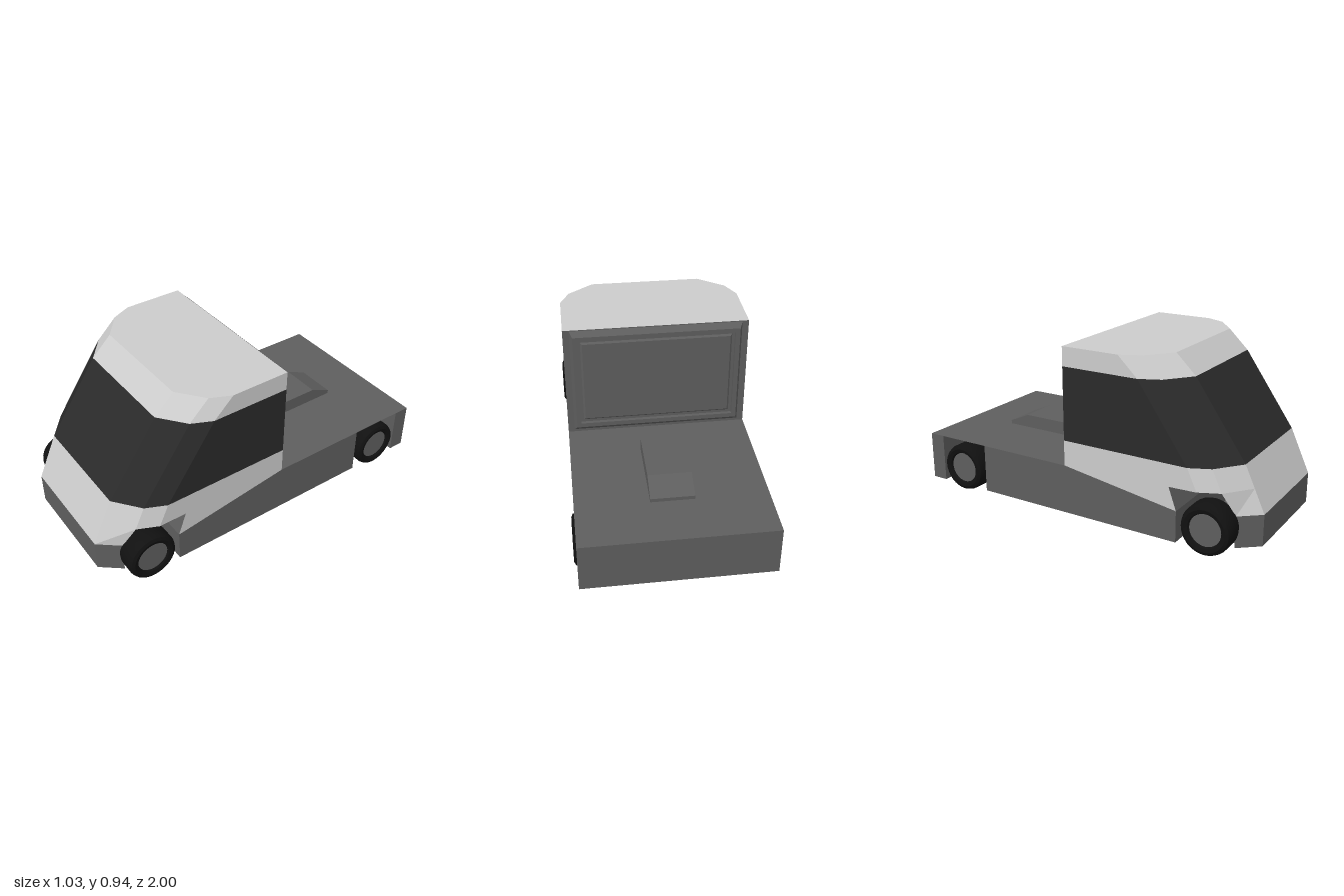
import * as THREE from 'three';
import { toCreasedNormals } from 'three/addons/utils/BufferGeometryUtils.js';

const mat = (color, side = THREE.DoubleSide) =>
  new THREE.MeshStandardMaterial({ color, side, flatShading: true });
const paint = mat(0xcccccc), glass = mat(0x2a2a2a), dark = mat(0x5e5e5e);
const rubber = new THREE.MeshStandardMaterial({ color: 0x111111, side: THREE.DoubleSide });

function add(parent, name, geometry, material, x = 0, y = 0, z = 0) {
  const m = new THREE.Mesh(geometry, material);
  m.name = name;
  m.position.set(x, y, z);
  parent.add(m);
  return m;
}

// Faceted surface from polygons, each fanned from its first corner
function facets(polys) {
  const pos = [];
  for (const p of polys)
    for (let i = 1; i < p.length - 1; i++) pos.push(...p[0], ...p[i], ...p[i + 1]);
  const g = new THREE.BufferGeometry();
  g.setAttribute('position', new THREE.Float32BufferAttribute(pos, 3));
  g.computeVertexNormals();
  return g;
}
const mirror = (p) => p.map(([x, y, z]) => [-x, y, z]).reverse();
const both = (p) => [p, mirror(p)];

// Cab outline at height y with its nose at z = f, running from the left rear to the right rear
function ring(y, f) {
  const half = [[0.5, y, -0.05], [0.5, y, f - 0.22], [0.45, y, f - 0.11], [0.31, y, f]];
  return [...half, ...mirror(half)];
}
// Walls joining two outlines
function walls(a, b, from = 0, to = a.length - 1) {
  const out = [];
  for (let i = from; i < to; i++) out.push([a[i + 1], a[i], b[i], b[i + 1]]);
  return out;
}
// Solid with a (z, y) side profile, centred across x
function sideSolid(points, width) {
  const s = new THREE.Shape(points.map(([z, y]) => new THREE.Vector2(z, y)));
  const g = new THREE.ExtrudeGeometry(s, { depth: width, bevelEnabled: false });
  return g.translate(0, 0, -width / 2).rotateY(-Math.PI / 2);
}
// Rectangle loop in the rear panel
const rect = (x, y0, y1, z) => [[x, y0, z], [-x, y0, z], [-x, y1, z], [x, y1, z], [x, y0, z]];

function makeCab() {
  const cab = new THREE.Group();
  cab.name = 'cab';
  const arch = ring(0.325, 0.943), sill = ring(0.44, 0.89);
  const head = ring(0.84, 0.61), roof = ring(0.945, 0.5);

  add(cab, 'lowerCab', facets([
    ...walls(arch, sill, 1, 6),
    // doors with the rear edge of the wheel arch
    ...both([[0.5, 0.44, -0.05], [0.5, 0.44, 0.67], [0.5, 0.325, 0.723],
      [0.5, 0.325, 0.57], [0.5, 0.2, 0.615], [0.5, 0.3, -0.05]]),
    // nose below the arch line
    [[-0.31, 0.2, 1], [0.31, 0.2, 1], arch[3], arch[4]],
    ...both([[0.31, 0.2, 1], [0.4, 0.2, 0.89], arch[2], arch[3]]),
  ]), paint);
  add(cab, 'windowBand', facets(walls(sill, head)), glass);
  add(cab, 'roof', facets([...walls(head, roof), [...roof].reverse()]), paint);
  add(cab, 'wheelArchLining', facets([
    [[0.5, 0.325, 0.57], ...arch.slice(1, 7), [-0.5, 0.325, 0.57]],
    [[-0.5, 0.2, 0.615], [0.5, 0.2, 0.615], [0.5, 0.325, 0.57], [-0.5, 0.325, 0.57]],
  ]), dark);

  // raised frame and recessed panel behind the cab
  const loops = [rect(0.5, 0.3, 0.945, -0.05), rect(0.465, 0.315, 0.94, -0.05),
    rect(0.45, 0.345, 0.915, -0.08), rect(0.425, 0.37, 0.89, -0.08),
    rect(0.425, 0.37, 0.89, -0.06), rect(0.41, 0.385, 0.875, -0.06),
    rect(0.4, 0.395, 0.865, -0.068)];
  const back = [];
  for (let i = 0; i < loops.length - 1; i++) back.push(...walls(loops[i + 1], loops[i]).map((p) => p.reverse()));
  back.push(loops[6].slice(0, 4));
  add(cab, 'rearPanel', facets(back), dark);
  return cab;
}

function makeChassis() {
  const chassis = new THREE.Group();
  chassis.name = 'chassis';
  add(chassis, 'mainChassis', sideSolid(
    [[0.615, 0.03], [0.615, 0.2], [-0.05, 0.3], [-0.6, 0.3], [-0.6, 0.03]], 1), dark);
  add(chassis, 'rearBumper', new THREE.BoxGeometry(1, 0.27, 0.09), dark, 0, 0.165, -0.955);
  const plate = (w, z0, z1) => new THREE.PlaneGeometry(w, z1 - z0)
    .rotateX(-Math.PI / 2).translate(0, 0, (z0 + z1) / 2);
  add(chassis, 'rearDeck', plate(1, -0.91, -0.6), dark, 0, 0.3);
  add(chassis, 'rearFloor', plate(0.7, -0.91, -0.6), dark, 0, 0.03);
  add(chassis, 'frontFloor', plate(0.7, 0.615, 0.89), dark, 0, 0.03);

  // front bumper with angled corners
  const plan = new THREE.Shape([[0.4, -0.89], [0.31, -1], [-0.31, -1], [-0.4, -0.89]]
    .map(([x, y]) => new THREE.Vector2(x, y)));
  add(chassis, 'frontBumper', new THREE.ExtrudeGeometry(plan, { depth: 0.17, bevelEnabled: false })
    .rotateX(-Math.PI / 2), dark, 0, 0.03);

  add(chassis, 'couplingPlate', sideSolid(
    [[-0.27, 0.3], [-0.27, 0.375], [-0.59, 0.375], [-0.715, 0.32], [-0.715, 0.3]], 0.23), dark);
  return chassis;
}

function makeWheel(side) {
  const wheel = new THREE.Group();
  const half = [[0.085, 0.05], [0.092, 0.062], [0.112, 0.068], [0.128, 0.06], [0.135, 0.042]];
  const profile = [...half.map(([r, y]) => [r, -y]), ...half.reverse()]
    .map(([r, y]) => new THREE.Vector2(r, y));
  const turn = -side * Math.PI / 2;
  const tyre = new THREE.LatheGeometry(profile, 32).rotateZ(turn);
  add(wheel, 'tyre', toCreasedNormals(tyre, 0.6), rubber);
  add(wheel, 'hub', new THREE.CylinderGeometry(0.086, 0.086, 0.104, 32).rotateZ(turn), dark);
  return wheel;
}

export function createModel() {
  const truck = new THREE.Group();
  truck.name = 'truck';
  truck.add(makeCab(), makeChassis());
  for (const [end, z] of [['front', 0.775], ['rear', -0.76]])
    for (const side of [1, -1]) {
      const wheel = makeWheel(side);
      wheel.name = `${end}${side > 0 ? 'Left' : 'Right'}Wheel`;
      wheel.position.set(side * 0.447, 0.137, z);
      truck.add(wheel);
    }
  return truck;
}
